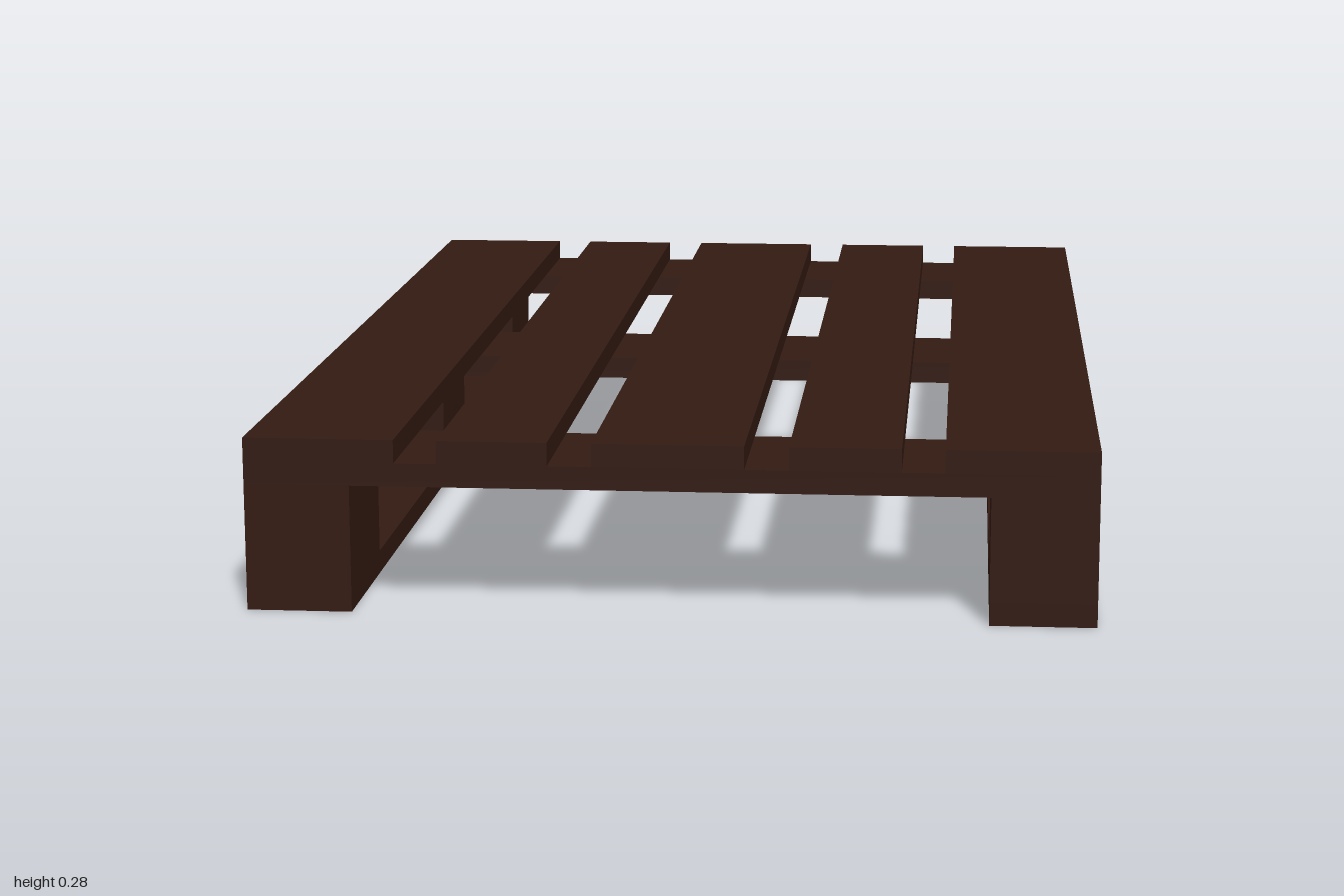
import * as THREE from 'three';

const HALF_W = 0.667; // half width across x
const RUNNER_W = 0.167; // width of runners and blocks
const LAYERS = [0, 0.037, 0.204, 0.241, 0.278]; // heights between the layers
const BOARD = 0.24; // wide board and block length

export function createModel() {
  const model = new THREE.Group();
  model.name = 'pallet';
  const wood = new THREE.MeshStandardMaterial({ color: 0x331a12 });

  // One plank or block filling a given layer
  function plank(name, layer, x, z, width, length) {
    const y0 = LAYERS[layer];
    const y1 = LAYERS[layer + 1];
    const mesh = new THREE.Mesh(new THREE.BoxGeometry(width, y1 - y0, length), wood);
    mesh.name = name;
    mesh.position.set(x, (y0 + y1) / 2, z);
    model.add(mesh);
  }

  const rows = [-1 + BOARD / 2, 0, 1 - BOARD / 2];

  // Bottom runners with three spacer blocks on each
  for (const side of [-1, 1]) {
    const x = side * (HALF_W - RUNNER_W / 2);
    plank('bottomRunner', 0, x, 0, RUNNER_W, 2);
    for (const z of rows) plank('spacerBlock', 1, x, z, RUNNER_W, BOARD);
  }

  // Cross boards over the blocks
  for (const z of rows) plank('crossBoard', 2, 0, z, HALF_W * 2, BOARD);

  // Deck boards: wide centre, narrow intermediate, wide outer
  plank('centreDeckBoard', 3, 0, 0, 0.238, 2);
  for (const side of [-1, 1]) {
    plank('innerDeckBoard', 3, side * 0.275, 0, 0.174, 2);
    plank('outerDeckBoard', 3, side * (HALF_W - 0.119), 0, 0.238, 2);
  }

  return model;
}
